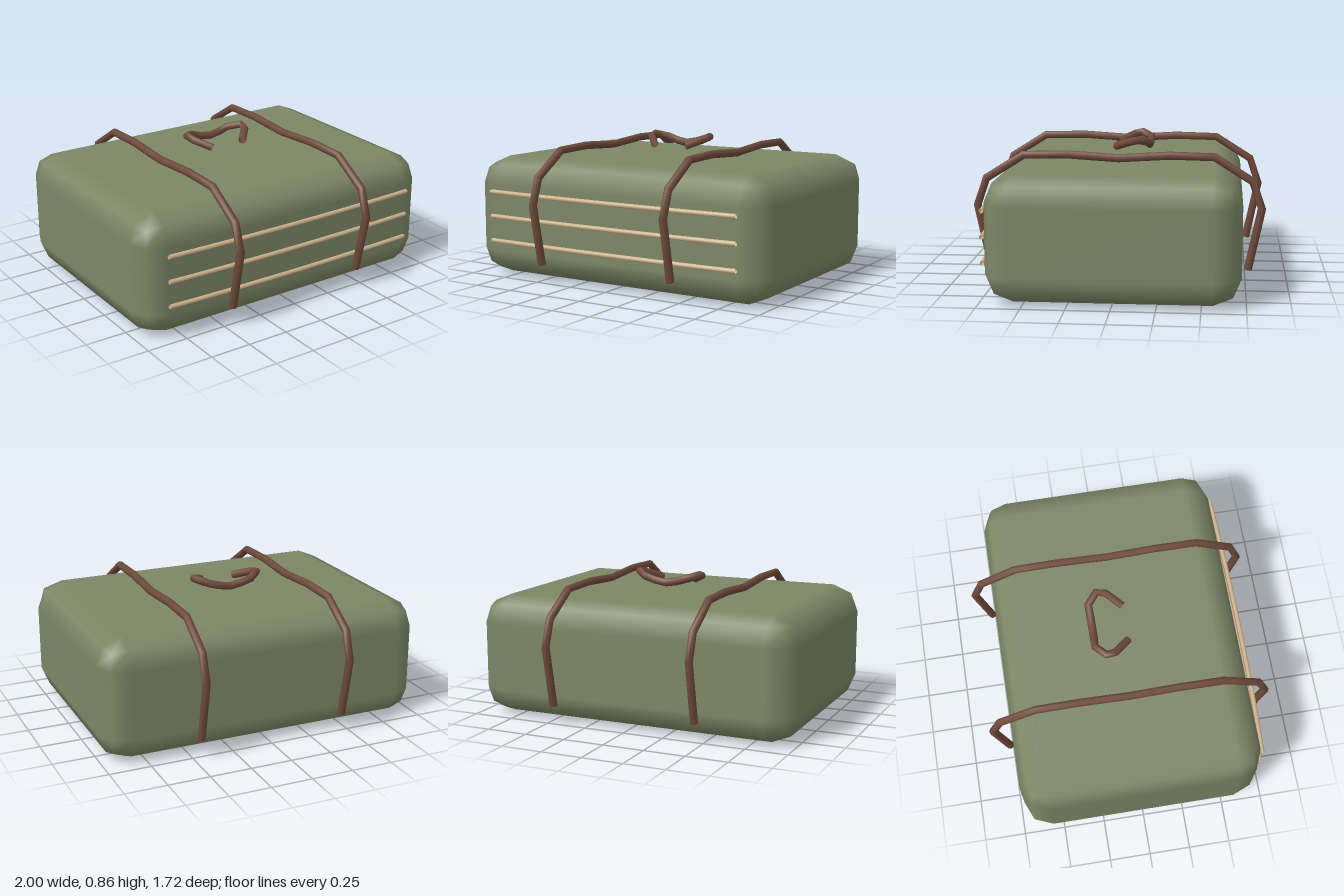
import * as THREE from 'three';
import { RoundedBoxGeometry } from 'three/addons/geometries/RoundedBoxGeometry.js';

// Curve that bends exactly at its given points
class BentPath extends THREE.Curve {
  constructor(points) {
    super();
    this.points = points.map((p) => new THREE.Vector3(...p));
  }
  getPoint(t, target = new THREE.Vector3()) {
    const n = this.points.length - 1;
    const i = Math.min(Math.floor(t * n), n - 1);
    return target.lerpVectors(this.points[i], this.points[i + 1], t * n - i);
  }
  getPointAt(t, target) { return this.getPoint(t, target); }
  getTangentAt(t, target) { return this.getTangent(t, target); }
}

function material(name, color) {
  const m = new THREE.MeshStandardMaterial({ color });
  m.name = name;
  return m;
}

function bentTube(name, points, radius, mat, sides = 8) {
  const path = new BentPath(points);
  const mesh = new THREE.Mesh(
    new THREE.TubeGeometry(path, points.length - 1, radius, sides, false), mat);
  mesh.name = name;
  return mesh;
}

// Appends the reflection of a half path along one axis, sharing its last point
function mirrored(half, axis) {
  const back = half.slice(0, -1).reverse()
    .map((p) => p.map((v, i) => (i === axis ? -v : v)));
  return [...half, ...back];
}

export function createModel() {
  const group = new THREE.Group();
  group.name = 'strappedBundle';
  const canvas = material('olive canvas', 0x7d8666);
  const leather = material('brown leather', 0x6e4a3b);
  const cord = material('tan cord', 0xd0b58e);
  leather.side = cord.side = THREE.DoubleSide;

  // Main body with chamfer-like rounded edges
  const body = new THREE.Mesh(new RoundedBoxGeometry(2, 0.725, 1.445, 1, 0.16), canvas);
  body.name = 'body';
  body.position.y = 0.3625;
  group.add(body);

  // Two straps draped over the body from front to back
  for (const x of [-0.45, 0.45]) {
    const half = [
      [x, 0.117, 0.762], [x, 0.48, 0.837], [x, 0.64, 0.782],
      [x, 0.78, 0.56], [x, 0.786, 0.3], [x, 0.767, 0],
    ];
    group.add(bentTube(x > 0 ? 'leftStrap' : 'rightStrap', mirrored(half, 2), 0.024, leather));
  }

  // Curved carrying handle above the top
  const handle = [
    [-0.11, 0.79, 0.045], [-0.19, 0.828, -0.045], [-0.2, 0.84, -0.1],
    [-0.135, 0.82, -0.158], [-0.07, 0.8, -0.156], [0, 0.788, -0.155],
  ];
  group.add(bentTube('handle', mirrored(handle, 0), 0.024, leather));

  // Slightly bowed cords across the front
  for (const y of [0.22, 0.37, 0.52]) {
    const points = [];
    for (let i = 0; i <= 10; i++) {
      const u = i / 5 - 1;
      points.push([u * 0.85, y, 0.756 - 0.02 * u * u]);
    }
    group.add(bentTube('frontCord', points, 0.014, cord, 6));
  }
  return group;
}
